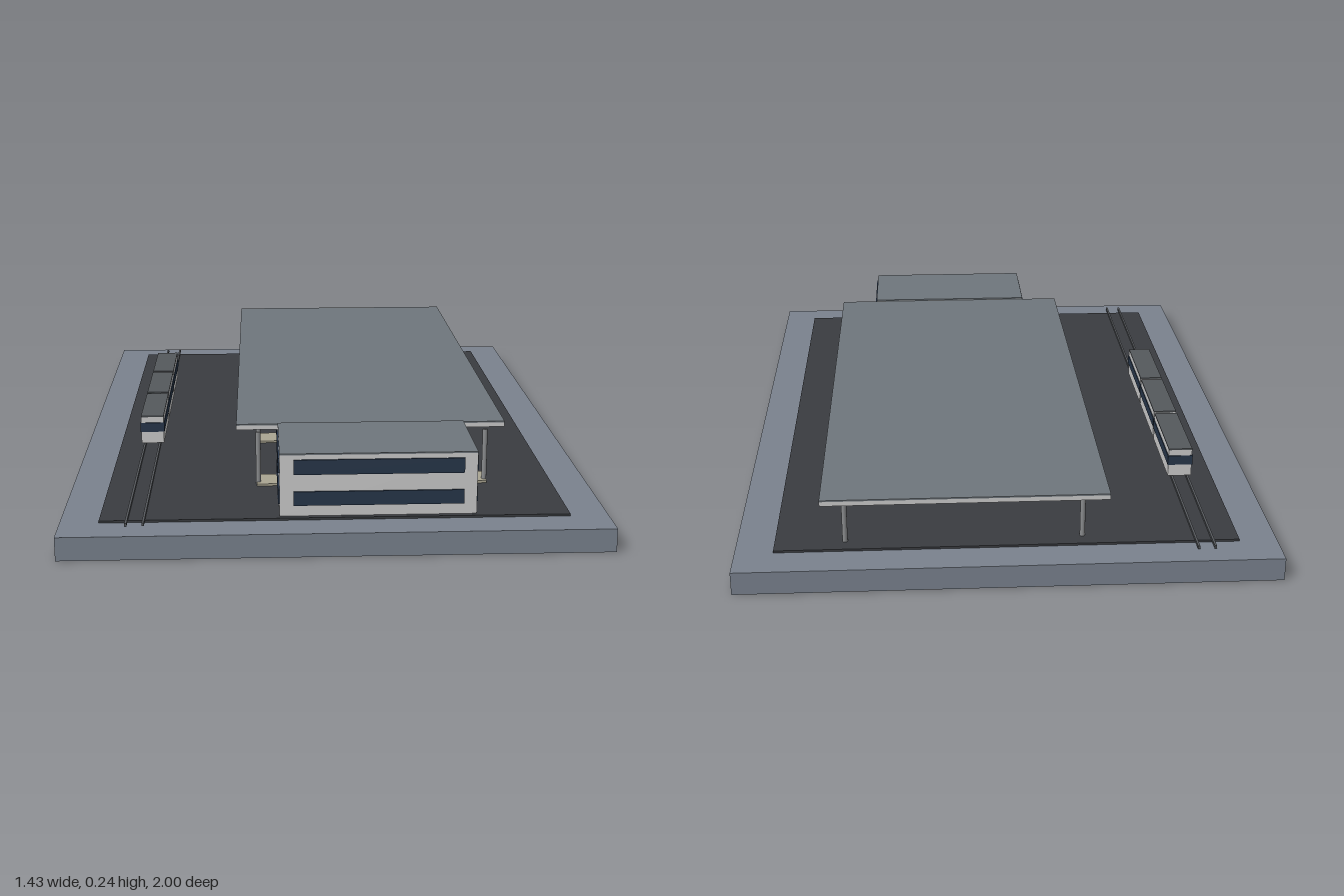
import * as THREE from 'three';

const paint = (color) => new THREE.MeshStandardMaterial({ color });
const M = {
  base: paint(0x7a828e), asphalt: paint(0x3a3c40), wall: paint(0xc4c4c0), roof: paint(0x6f767c),
  glass: paint(0x27364a), steel: paint(0x8a8c8e), rail: paint(0x55585c), kerb: paint(0xaaa592),
  trainRoof: paint(0x55595c), dark: paint(0x222326),
  green: paint(0x2f6b45), blue: paint(0x2a68a8), yellow: paint(0xc29a2c),
};

// Box given by its limits on each axis
function box(parent, name, mat, [x0, x1], [y0, y1], [z0, z1]) {
  const mesh = new THREE.Mesh(new THREE.BoxGeometry(x1 - x0, y1 - y0, z1 - z0), mat);
  mesh.position.set((x0 + x1) / 2, (y0 + y1) / 2, (z0 + z1) / 2);
  mesh.name = name;
  parent.add(mesh);
  return mesh;
}

function cylinder(parent, name, mat, r, h, x, y, z, sides = 12) {
  const mesh = new THREE.Mesh(new THREE.CylinderGeometry(r, r, h, sides), mat);
  mesh.position.set(x, y, z);
  mesh.name = name;
  parent.add(mesh);
  return mesh;
}

function group(parent, name) {
  const g = new THREE.Group();
  g.name = name;
  parent.add(g);
  return g;
}

// Two-storey hall with ribbon windows
function addBuilding(root) {
  const g = group(root, 'terminalBuilding');
  box(g, 'walls', M.wall, [-0.146, 0.368], [0.068, 0.234], [0.602, 0.885]);
  box(g, 'flatRoof', M.roof, [-0.146, 0.368], [0.234, 0.238], [0.602, 0.885]);
  for (const [y0, y1] of [[0.098, 0.136], [0.182, 0.222]]) {
    box(g, 'frontWindow', M.glass, [-0.11, 0.334], [y0, y1], [0.88, 0.889]);
    box(g, 'leftWindow', M.glass, [0.36, 0.372], [y0, y1], [0.616, 0.871]);
    box(g, 'rightWindow', M.glass, [-0.15, -0.14], [y0, y1], [0.616, 0.871]);
  }
}

// Large flat canopy on two rows of columns
function addCanopy(root) {
  const g = group(root, 'canopy');
  box(g, 'canopySlab', M.wall, [-0.26, 0.484], [0.218, 0.23], [-0.945, 0.599]);
  box(g, 'canopyRoof', M.roof, [-0.26, 0.484], [0.23, 0.234], [-0.945, 0.599]);
  for (const x of [-0.2, 0.427])
    for (const z of [-0.855, -0.34, 0.175, 0.62])
      cylinder(g, 'column', M.steel, 0.007, 0.15, x, 0.143, z);
}

// Coach standing across the bays
function addBus(root, mat, z) {
  const g = group(root, 'bus');
  box(g, 'busBody', mat, [-0.01, 0.24], [0.08, 0.155], [z - 0.035, z + 0.035]);
  box(g, 'busSideWindows', M.glass, [0.005, 0.225], [0.12, 0.144], [z - 0.037, z + 0.037]);
  box(g, 'busEndWindows', M.glass, [-0.013, 0.243], [0.12, 0.144], [z - 0.03, z + 0.03]);
  for (const x of [0.03, 0.2])
    for (const s of [-1, 1])
      cylinder(g, 'busWheel', M.dark, 0.012, 0.01, x, 0.081, z + s * 0.03).rotation.x = Math.PI / 2;
}

// Three-car train on a pair of rails
function addTrain(root) {
  const g = group(root, 'train');
  for (const x of [-0.54, -0.496])
    box(g, 'rail', M.rail, [x - 0.003, x + 0.003], [0.068, 0.076], [-0.945, 0.94]);
  for (const z of [0.135, -0.135, -0.405]) {
    const car = group(g, 'trainCar');
    box(car, 'carBody', M.wall, [-0.549, -0.482], [0.08, 0.16], [z - 0.128, z + 0.128]);
    box(car, 'carRoof', M.trainRoof, [-0.549, -0.482], [0.16, 0.164], [z - 0.128, z + 0.128]);
    box(car, 'carWindowBand', M.glass, [-0.551, -0.48], [0.115, 0.143], [z - 0.13, z + 0.13]);
  }
  for (const z of [0, -0.27])
    box(g, 'gangway', M.dark, [-0.538, -0.493], [0.09, 0.15], [z - 0.01, z + 0.01]);
}

// Small waiting figures on the last platform
function addPeople(root) {
  const spots = [[0.05, -0.546], [0.12, -0.56], [0.2, -0.6], [0.08, -0.64], [0.17, -0.645]];
  for (const [x, z] of spots) {
    const g = group(root, 'passenger');
    cylinder(g, 'passengerBody', M.dark, 0.006, 0.042, x, 0.095, z, 8);
    const head = new THREE.Mesh(new THREE.SphereGeometry(0.007, 10, 8), M.dark);
    head.name = 'passengerHead';
    head.position.set(x, 0.122, z);
    g.add(head);
  }
}

export function createModel() {
  const root = new THREE.Group();
  root.name = 'transitStation';

  box(root, 'basePlinth', M.base, [-0.713, 0.713], [0, 0.063], [-1, 1]);
  box(root, 'asphalt', M.asphalt, [-0.612, 0.612], [0.06, 0.069], [-0.9, 0.9]);

  addBuilding(root);
  addCanopy(root);

  // Raised boarding platforms under the canopy
  for (const z of [0.6, 0.2, -0.2, -0.6])
    box(root, 'platform', M.kerb, [-0.204, 0.432], [0.066, 0.075], [z - 0.042, z + 0.042]);

  addBus(root, M.green, 0.334);
  addBus(root, M.blue, -0.066);
  addBus(root, M.yellow, -0.468);
  addTrain(root);
  addPeople(root);
  return root;
}
